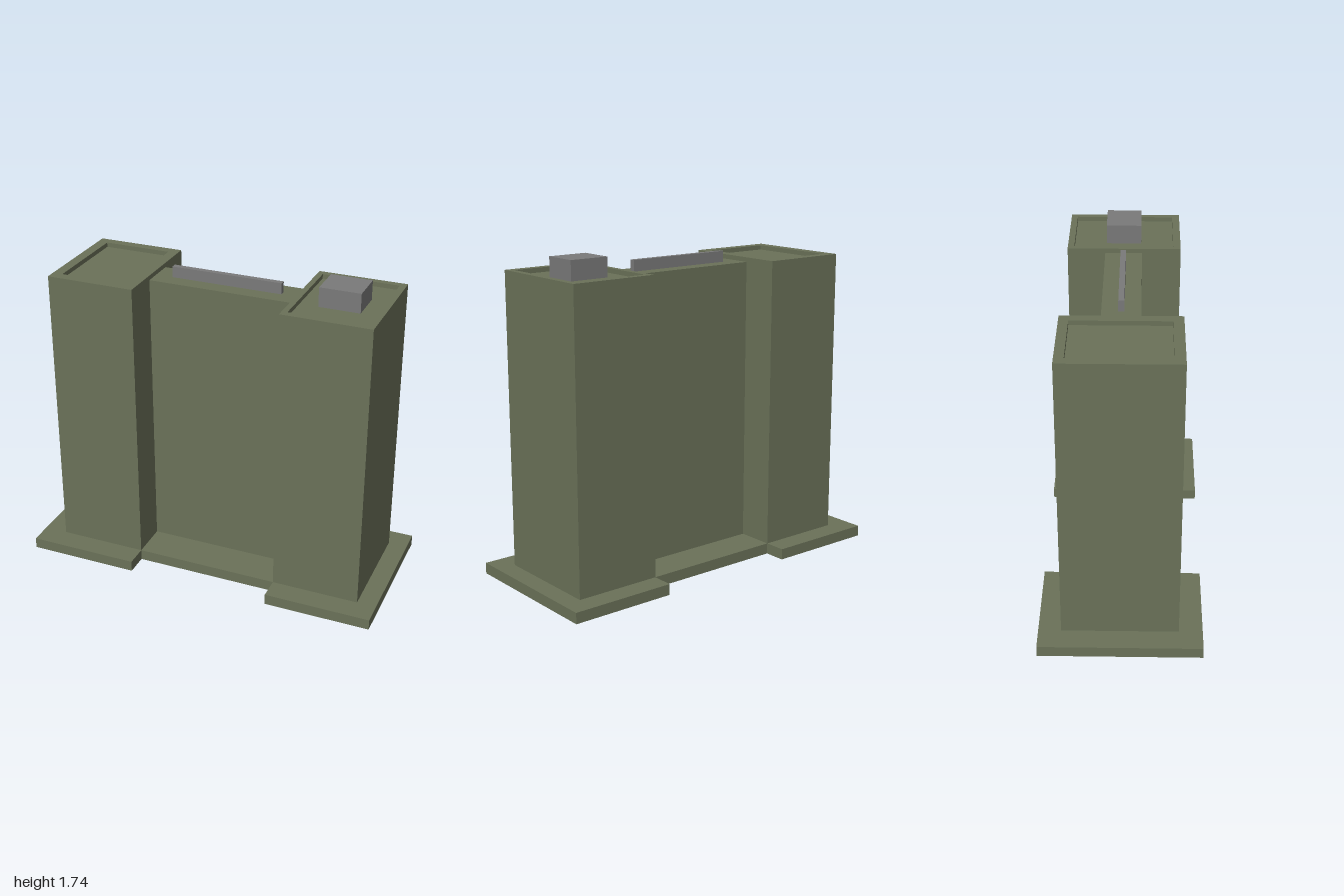
import * as THREE from 'three';
import { mergeGeometries } from 'three/addons/utils/BufferGeometryUtils.js';

const LEDGE = 0.06, ROOF = 1.63, TOP = 1.655;
const FRONT = 0.30, BACK = -0.315;           // tower and link ledge depth
const BASE_FRONT = 0.425, BASE_BACK = -0.435; // base slab depth
const LINK_FRONT = 0.09, LINK_BACK = -0.11;   // link block depth
const L = -0.385, R = 0.415;                  // inner faces of the towers

const rect = (x0, x1, z0, z1) => [[x0, z1], [x1, z1], [x1, z0], [x0, z0]];

// Upright walls along a closed [x, z] outline; reversed outlines face inward
function walls(outline, y0, y1) {
  const pos = [];
  outline.forEach(([ax, az], i) => {
    const [bx, bz] = outline[(i + 1) % outline.length];
    pos.push(ax, y0, az, bx, y0, bz, bx, y1, bz, ax, y0, az, bx, y1, bz, ax, y1, az);
  });
  const g = new THREE.BufferGeometry();
  g.setAttribute('position', new THREE.Float32BufferAttribute(pos, 3));
  g.computeVertexNormals();
  return g;
}

// Level surface at height y, with an optional hole, facing up
function level(outline, y, hole) {
  const points = (o) => o.map(([x, z]) => new THREE.Vector2(x, -z));
  const shape = new THREE.Shape(points(outline));
  if (hole) shape.holes.push(new THREE.Path(points(hole)));
  const g = new THREE.ShapeGeometry(shape).toNonIndexed();
  g.deleteAttribute('uv');
  return g.rotateX(-Math.PI / 2).translate(0, y, 0);
}

export function createModel() {
  const group = new THREE.Group();
  const green = new THREE.MeshStandardMaterial({ color: 0x6b7259, side: THREE.DoubleSide });
  const grey = new THREE.MeshStandardMaterial({ color: 0x7a7a7a });
  const add = (name, geometry, material = green) => {
    const mesh = new THREE.Mesh(geometry, material);
    mesh.name = name;
    group.add(mesh);
  };

  // H-shaped outline: two end blocks joined by a narrower link
  const hOutline = (x0, x1, z0, z1, linkBack, linkFront) => [
    [x0, z1], [L, z1], [L, linkFront], [R, linkFront], [R, z1], [x1, z1],
    [x1, z0], [R, z0], [R, linkBack], [L, linkBack], [L, z0], [x0, z0],
  ];

  // Base slab: thin skirt and ledge, open underneath
  const endLedge = (outer, wall, inner) => level([
    [outer, BASE_FRONT], [inner, BASE_FRONT], [inner, FRONT], [wall, FRONT],
    [wall, BACK], [inner, BACK], [inner, BASE_BACK], [outer, BASE_BACK],
  ], LEDGE);
  add('base', mergeGeometries([
    walls(hOutline(-1, 1, BASE_BACK, BASE_FRONT, BACK, FRONT), 0, LEDGE),
    endLedge(-1, -0.87, L),
    endLedge(1, 0.895, R),
    level(rect(L, R, LINK_FRONT, FRONT), LEDGE),
    level(rect(L, R, BACK, LINK_BACK), LEDGE),
  ]));

  // Outer walls of both towers and the link, hollow inside
  add('buildingWalls', walls(hOutline(-0.87, 0.895, BACK, FRONT, LINK_BACK, LINK_FRONT), LEDGE, ROOF));
  add('linkRoof', level(rect(L, R, LINK_BACK, LINK_FRONT), ROOF));

  // Tower roofs: raised rim around a sunken floor
  const towerRoof = (name, outer, inner) => add(name, mergeGeometries([
    walls(outer, ROOF, TOP),
    level(outer, TOP, inner),
    walls([...inner].reverse(), ROOF, TOP),
    level(inner, ROOF),
  ]));
  towerRoof('rightTowerRoof', rect(-0.87, L, BACK, FRONT), rect(-0.815, -0.44, -0.265, 0.245));
  towerRoof('leftTowerRoof', rect(R, 0.895, BACK, FRONT), rect(0.445, 0.86, -0.28, 0.26));

  // Rooftop blocks
  const block = (x0, x1, y1, z0, z1) => new THREE.BoxGeometry(x1 - x0, y1 - ROOF, z1 - z0)
    .translate((x0 + x1) / 2, (ROOF + y1) / 2, (z0 + z1) / 2);
  add('rooftopBox', block(0.545, 0.765, 1.735, -0.105, 0.085), grey);
  add('rooftopBar', block(-0.29, 0.32, 1.69, -0.025, 0.005), grey);

  return group;
}
